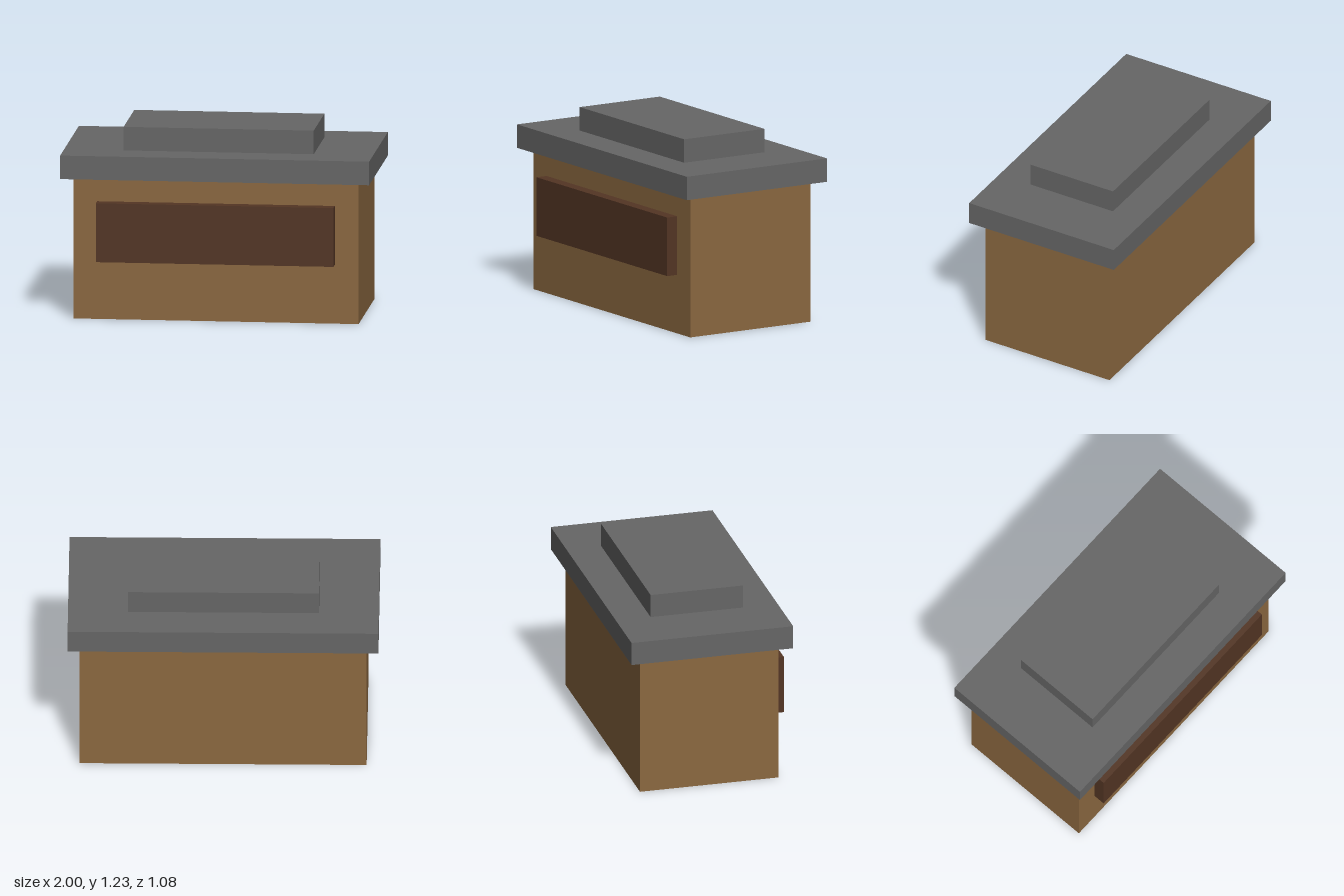
import * as THREE from 'three';

// One block of the grid the model is laid out on
const U = 2 / 13;
// Face order of a BoxGeometry
const FACES = ['right', 'left', 'top', 'bottom', 'front', 'back'];

function material(name, color) {
  const m = new THREE.MeshStandardMaterial({ color, side: THREE.DoubleSide });
  m.name = name;
  return m;
}

// Box sized in blocks, standing at height y, with the named faces left open
function block(name, mat, [w, h, d], y, z = 0, open = []) {
  const geo = new THREE.BoxGeometry(w * U, h * U, d * U);
  const index = Array.from(geo.index.array);
  geo.setIndex(index.filter((_, i) => !open.includes(FACES[Math.floor(i / 6)])));
  geo.clearGroups();
  const mesh = new THREE.Mesh(geo, mat);
  mesh.name = name;
  mesh.position.set(0, (y + h / 2) * U, z * U);
  return mesh;
}

export function createModel() {
  const wood = material('wood brown', 0x8b6840);
  const darkWood = material('dark brown', 0x533524);
  const slate = material('slate grey', 0x666666);

  const model = new THREE.Group();
  model.name = 'hut';
  model.add(
    // Hollow walls, open below and closed above by the roof
    block('walls', wood, [12, 6, 6], 0, 0, ['top', 'bottom']),
    // Front panel set halfway through the wall, open towards the inside
    block('frontPanel', darkWood, [10, 2.5, 1], 2.5, 3, ['back']),
    // Stepped roof
    block('roofSlab', slate, [13, 1, 7], 6),
    block('roofCap', slate, [8, 1, 4], 7, 0, ['bottom']),
  );
  return model;
}
